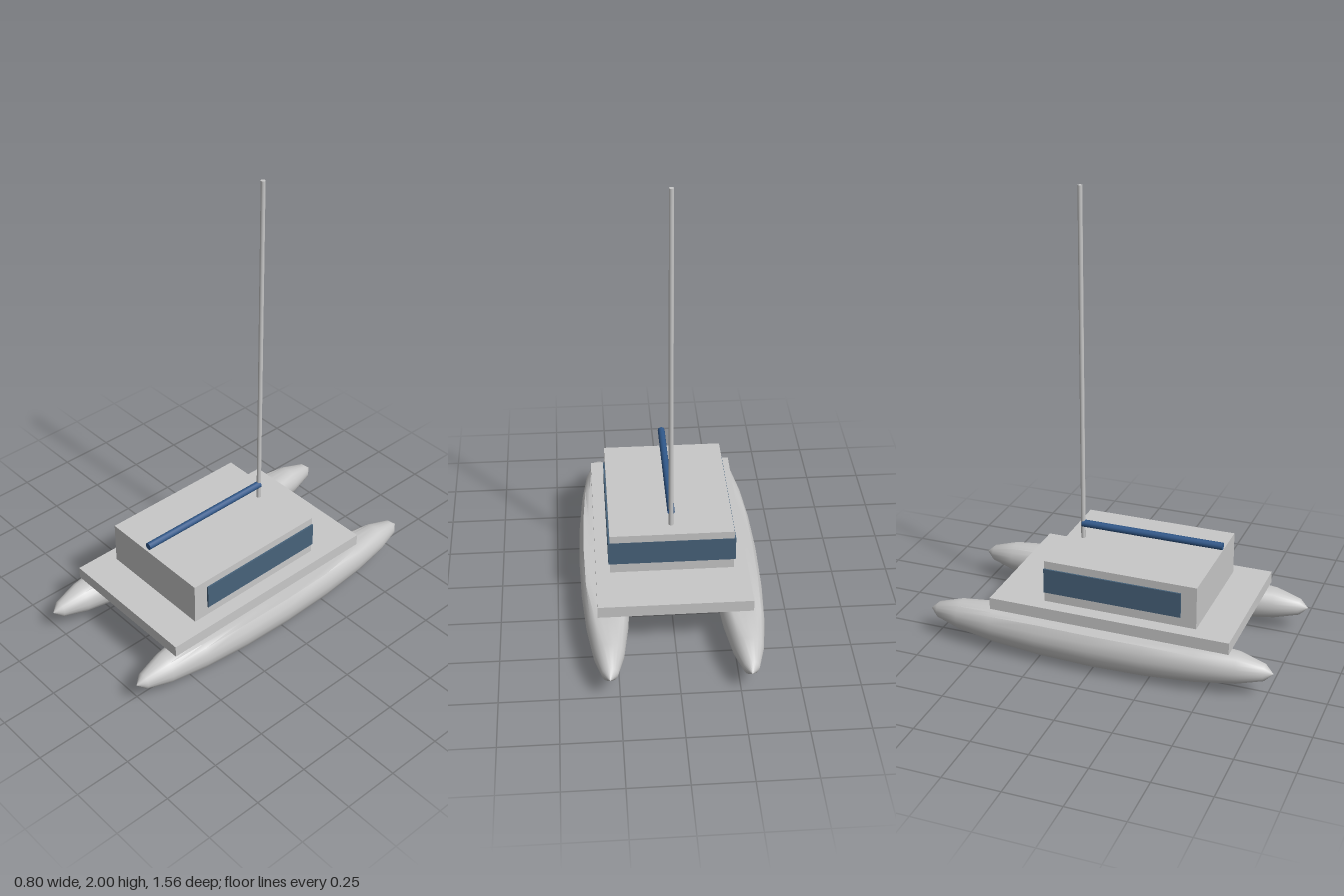
import * as THREE from 'three';
import { toCreasedNormals } from 'three/addons/utils/BufferGeometryUtils.js';

const material = (name, color) => {
  const m = new THREE.MeshStandardMaterial({ color });
  m.name = name;
  return m;
};

export function createModel() {
  const boat = new THREE.Group();
  boat.name = 'catamaran';
  const grey = material('light grey', 0xc8c8c8);
  const glass = material('window blue', 0x47627a);
  const blue = material('sail cover blue', 0x30588a);

  const add = (name, geometry, mat, x, y, z) => {
    const mesh = new THREE.Mesh(geometry, mat);
    mesh.name = name;
    mesh.position.set(x, y, z);
    boat.add(mesh);
    return mesh;
  };
  // Box given by half width, bottom, top, back and front
  const block = (name, mat, halfX, y0, y1, z0, z1) =>
    add(name, new THREE.BoxGeometry(halfX * 2, y1 - y0, z1 - z0), mat, 0, (y0 + y1) / 2, (z0 + z1) / 2);

  // Hulls: long ellipsoids with the top pressed flat
  const hull = new THREE.SphereGeometry(1, 20, 10);
  hull.rotateX(Math.PI / 2).scale(0.11, 0.117, 0.78);
  const p = hull.attributes.position;
  for (let i = 0; i < p.count; i++) p.setY(i, Math.min(p.getY(i), 0.066));
  const hullGeometry = toCreasedNormals(hull, 0.65);
  for (const side of [1, -1]) {
    add(side > 0 ? 'leftHull' : 'rightHull', hullGeometry, grey, side * 0.29, 0.118, 0);
  }

  // Deck, cabin and the window band that wraps its sides and back
  block('deck', grey, 0.33, 0.193, 0.246, -0.475, 0.598);
  block('cabin', grey, 0.268, 0.246, 0.437, -0.243, 0.438);
  block('windowBand', glass, 0.275, 0.29, 0.402, -0.244, 0.37);

  // Mast and boom
  add('mast', new THREE.CylinderGeometry(0.01, 0.01, 1.564, 12), grey, 0, 1.218, -0.17);
  const boom = new THREE.CylinderGeometry(0.016, 0.016, 0.637, 12).rotateX(Math.PI / 2);
  add('boom', boom, blue, 0, 0.506, 0.146);

  return boat;
}
